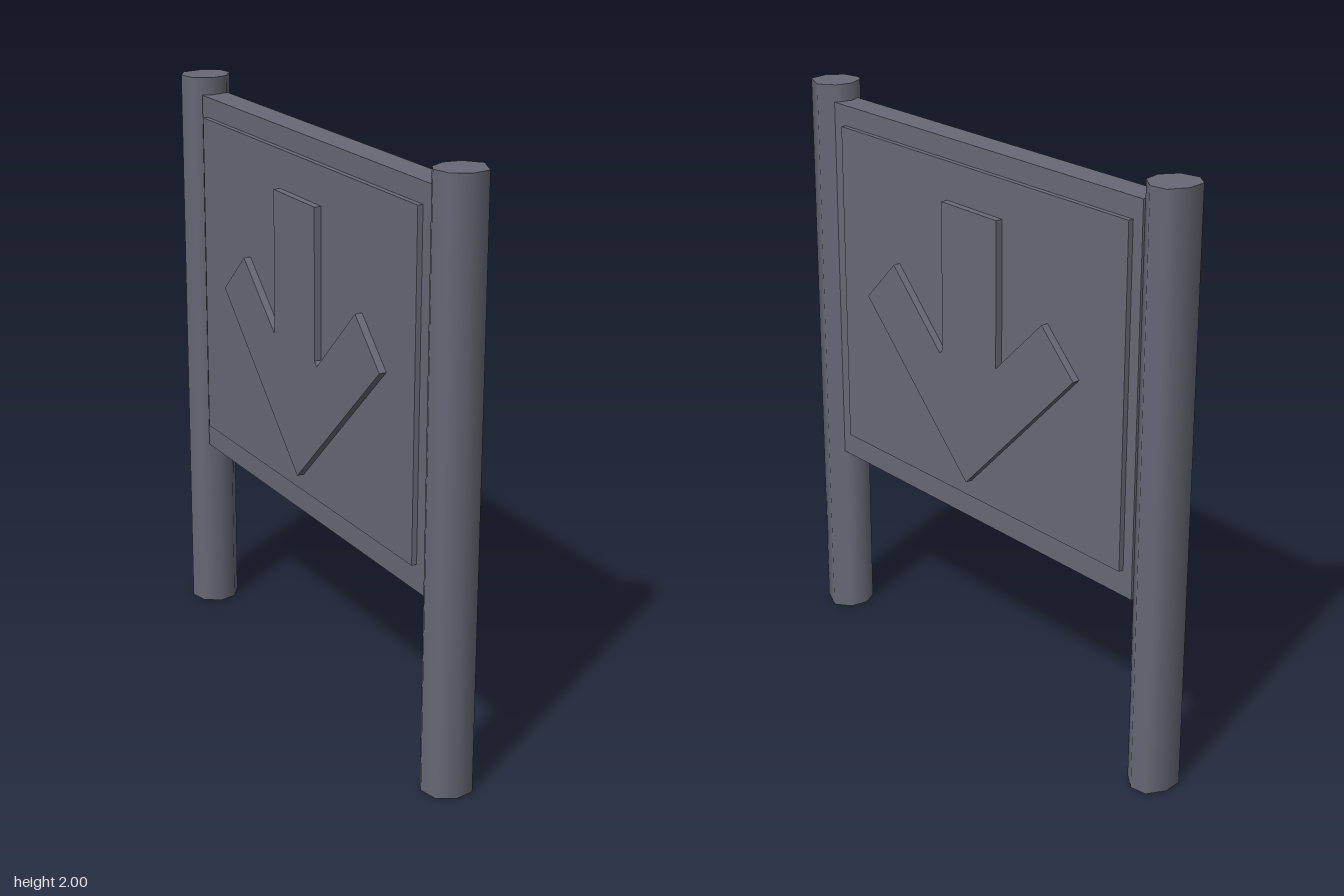
import * as THREE from 'three';

export function createModel() {
  const group = new THREE.Group();
  const slate = new THREE.MeshStandardMaterial({ color: 0x666975 });
  slate.name = 'slate grey';

  const add = (name, geometry) => {
    const mesh = new THREE.Mesh(geometry, slate);
    mesh.name = name;
    group.add(mesh);
    return mesh;
  };

  // Irregular eight-sided post: a cylinder whose corners follow an [x, z] outline
  const post = (name, z, outline) => {
    const geo = new THREE.CylinderGeometry(0.085, 0.085, 2, 8);
    const p = geo.attributes.position;
    for (let i = 0; i < p.count; i++) {
      if (Math.hypot(p.getX(i), p.getZ(i)) < 0.01) continue; // cap centre
      const k = (Math.round(Math.atan2(p.getX(i), p.getZ(i)) / (Math.PI / 4)) + 8) % 8;
      p.setX(i, outline[k][0]);
      p.setZ(i, outline[k][1]);
    }
    add(name, geo).position.set(0, 1, z);
  };
  post('frontPost', 0.825, [[-0.015, 0.08], [0.05, 0.07], [0.087, -0.017], [0.045, -0.07],
    [-0.015, -0.08], [-0.07, -0.05], [-0.087, -0.017], [-0.073, 0.046]]);
  post('backPost', -0.83, [[-0.015, 0.08], [0.045, 0.067], [0.087, 0.008], [0.077, -0.05],
    [0.015, -0.08], [-0.053, -0.07], [-0.087, -0.02], [-0.073, 0.046]]);

  // Board and the raised panel that shows on both of its faces
  const slab = (name, thickness, y0, y1, z0, z1) =>
    add(name, new THREE.BoxGeometry(thickness, y1 - y0, z1 - z0))
      .position.set(0, (y0 + y1) / 2, (z0 + z1) / 2);
  slab('board', 0.1, 0.64, 1.94, -0.76, 0.765);
  slab('raisedPanel', 0.136, 0.73, 1.87, -0.72, 0.70);

  // Downward arrow standing out on both sides, drawn as [-z, y]
  const arrow = new THREE.Shape([
    [-0.125, 1.74], [-0.125, 1.23], [-0.14, 1.215], [-0.385, 1.46], [-0.535, 1.31],
    [-0.005, 0.79], [0.52, 1.31], [0.37, 1.455], [0.15, 1.245], [0.15, 1.74],
  ].map(([x, y]) => new THREE.Vector2(x, y)));
  const arrowGeo = new THREE.ExtrudeGeometry(arrow, { depth: 0.186, bevelEnabled: false });
  arrowGeo.translate(0, 0, -0.093).rotateY(Math.PI / 2);
  add('arrow', arrowGeo);

  return group;
}
